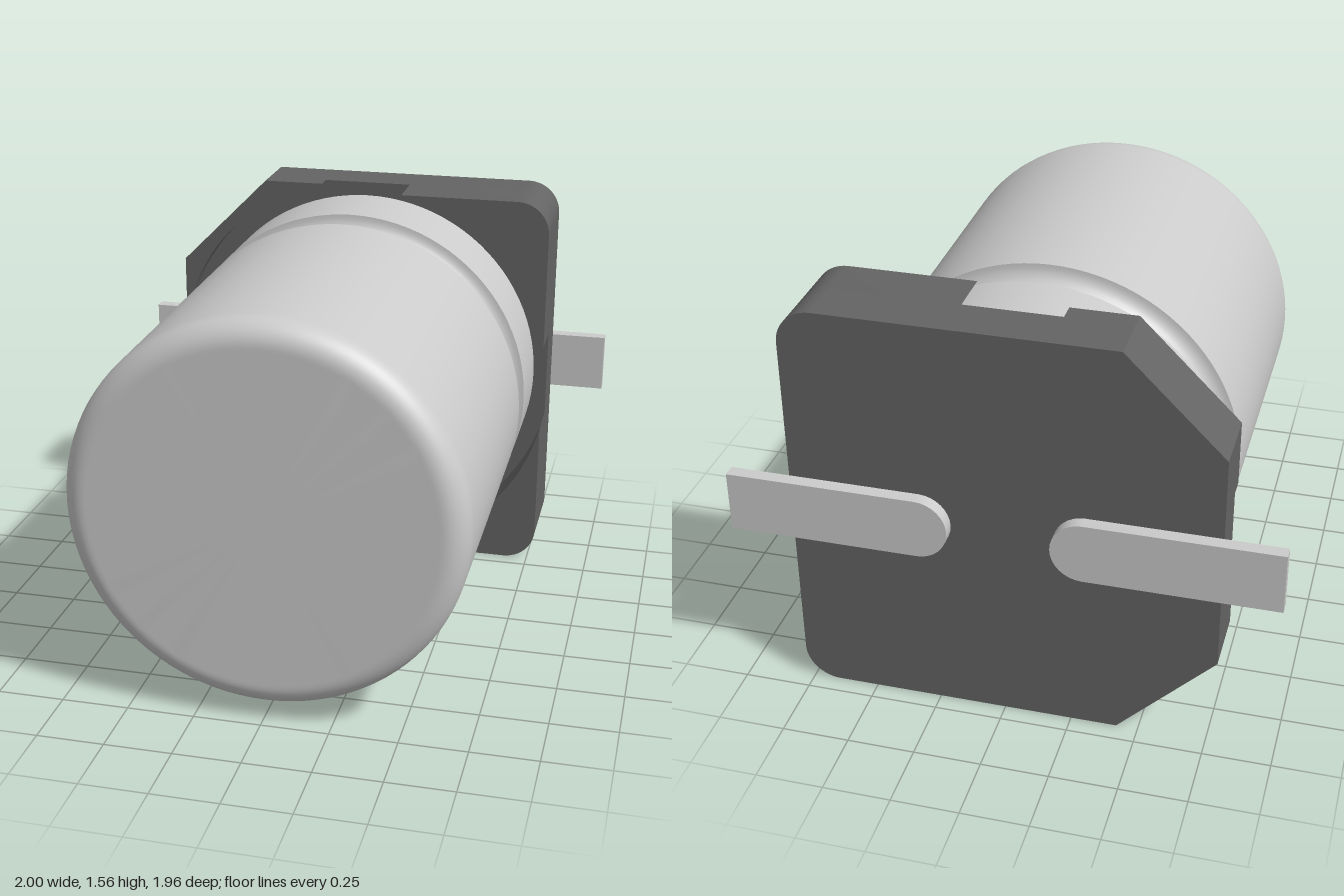
import * as THREE from 'three';
import { toCreasedNormals } from 'three/addons/utils/BufferGeometryUtils.js';

const CENTRE_Y = 0.78;
const HALF = 0.78;      // half width of the base
const CORNER = 0.13;    // rounded corner radius
const BEVEL = 0.42;     // where the cut corners begin
const RECESS = 0.8;     // radius of the round recess in the base
const FLOOR = -0.745;   // z of the recess floor
const BACK = -0.93;     // z of the base's back face

const metal = new THREE.MeshStandardMaterial({ color: 0xcccccc });
const plastic = new THREE.MeshStandardMaterial({ color: 0x646464 });

function extrude(shape, zFrom, zTo) {
  const geo = new THREE.ExtrudeGeometry(shape, { depth: zTo - zFrom, bevelEnabled: false, curveSegments: 24 });
  geo.translate(0, 0, zFrom);
  return toCreasedNormals(geo, 0.5);
}

function part(name, geo, material) {
  const mesh = new THREE.Mesh(geo, material);
  mesh.name = name;
  return mesh;
}

// Aluminium can: rounded front edge and a crimp groove near the base
function canGeometry() {
  const R = 0.725, round = 0.09, front = 0.98, groove = 0.075, grooveZ = -0.345;
  const pts = [[0, FLOOR], [R, FLOOR]];
  for (let i = 0; i <= 16; i++) {
    const t = (i / 16) * Math.PI;
    pts.push([R - groove * Math.sin(t), grooveZ - groove * Math.cos(t)]);
  }
  pts.push([R, front - round - 0.01]);
  for (let i = 0; i <= 10; i++) {
    const t = (i / 10) * Math.PI / 2;
    pts.push([R - round + round * Math.cos(t), front - round + round * Math.sin(t)]);
  }
  pts.push([R - round - 0.01, front], [0, front]);
  const geo = new THREE.LatheGeometry(pts.map(([r, z]) => new THREE.Vector2(r, z)), 96);
  geo.rotateX(Math.PI / 2);
  return toCreasedNormals(geo, 0.5);
}

// Base outline: cut corners on -x, rounded corners on +x
function plateShape() {
  const s = new THREE.Shape();
  s.moveTo(-BEVEL, -HALF);
  s.lineTo(HALF - CORNER, -HALF);
  s.absarc(HALF - CORNER, -HALF + CORNER, CORNER, -Math.PI / 2, 0, false);
  s.lineTo(HALF, HALF - CORNER);
  s.absarc(HALF - CORNER, HALF - CORNER, CORNER, 0, Math.PI / 2, false);
  s.lineTo(-BEVEL, HALF);
  s.lineTo(-HALF, BEVEL);
  s.lineTo(-HALF, -BEVEL);
  s.closePath();
  return s;
}

// Corner block between the base outline and the round recess;
// sx, sy pick the corner
function cornerShape(sx, sy) {
  const gap = Math.sqrt(RECESS * RECESS - HALF * HALF);
  const a0 = Math.atan2(gap, HALF), a1 = Math.PI / 2 - a0;
  const pts = [];
  if (sx > 0) {
    for (let i = 0; i <= 12; i++) {
      const t = (i / 12) * Math.PI / 2;
      pts.push([HALF - CORNER + CORNER * Math.cos(t), HALF - CORNER + CORNER * Math.sin(t)]);
    }
  } else {
    pts.push([HALF, BEVEL], [BEVEL, HALF]);
  }
  for (let i = 0; i <= 24; i++) {
    const t = a1 + (a0 - a1) * (i / 24);
    pts.push([RECESS * Math.cos(t), RECESS * Math.sin(t)]);
  }
  return new THREE.Shape(pts.map(([x, y]) => new THREE.Vector2(sx * x, sy * y)));
}

// Flat lead with a rounded inner end
function leadShape(side) {
  const h = 0.115, inner = 0.185, n = 16;
  const pts = [[1, -h], [1, h]];
  for (let i = 0; i <= n; i++) {
    const t = Math.PI / 2 + (i / n) * Math.PI;
    pts.push([inner + h + h * Math.cos(t), h * Math.sin(t)]);
  }
  return new THREE.Shape(pts.map(([x, y]) => new THREE.Vector2(side * x, y)));
}

export function createModel() {
  const model = new THREE.Group();
  model.name = 'surfaceMountCapacitor';
  const body = new THREE.Group();
  body.name = 'body';
  body.position.y = CENTRE_Y;
  model.add(body);

  body.add(part('can', canGeometry(), metal));

  const base = new THREE.Group();
  base.name = 'base';
  base.add(part('basePlate', extrude(plateShape(), BACK, FLOOR), plastic));
  for (const sx of [1, -1]) {
    const top = sx > 0 ? -0.565 : -0.675;
    for (const sy of [1, -1]) {
      const name = (sy > 0 ? 'upper' : 'lower') + (sx > 0 ? 'Left' : 'Right') + 'Corner';
      base.add(part(name, extrude(cornerShape(sx, sy), FLOOR, top), plastic));
    }
  }
  body.add(base);

  for (const side of [1, -1]) {
    body.add(part(side > 0 ? 'leftLead' : 'rightLead', extrude(leadShape(side), -0.98, BACK), metal));
  }
  return model;
}
